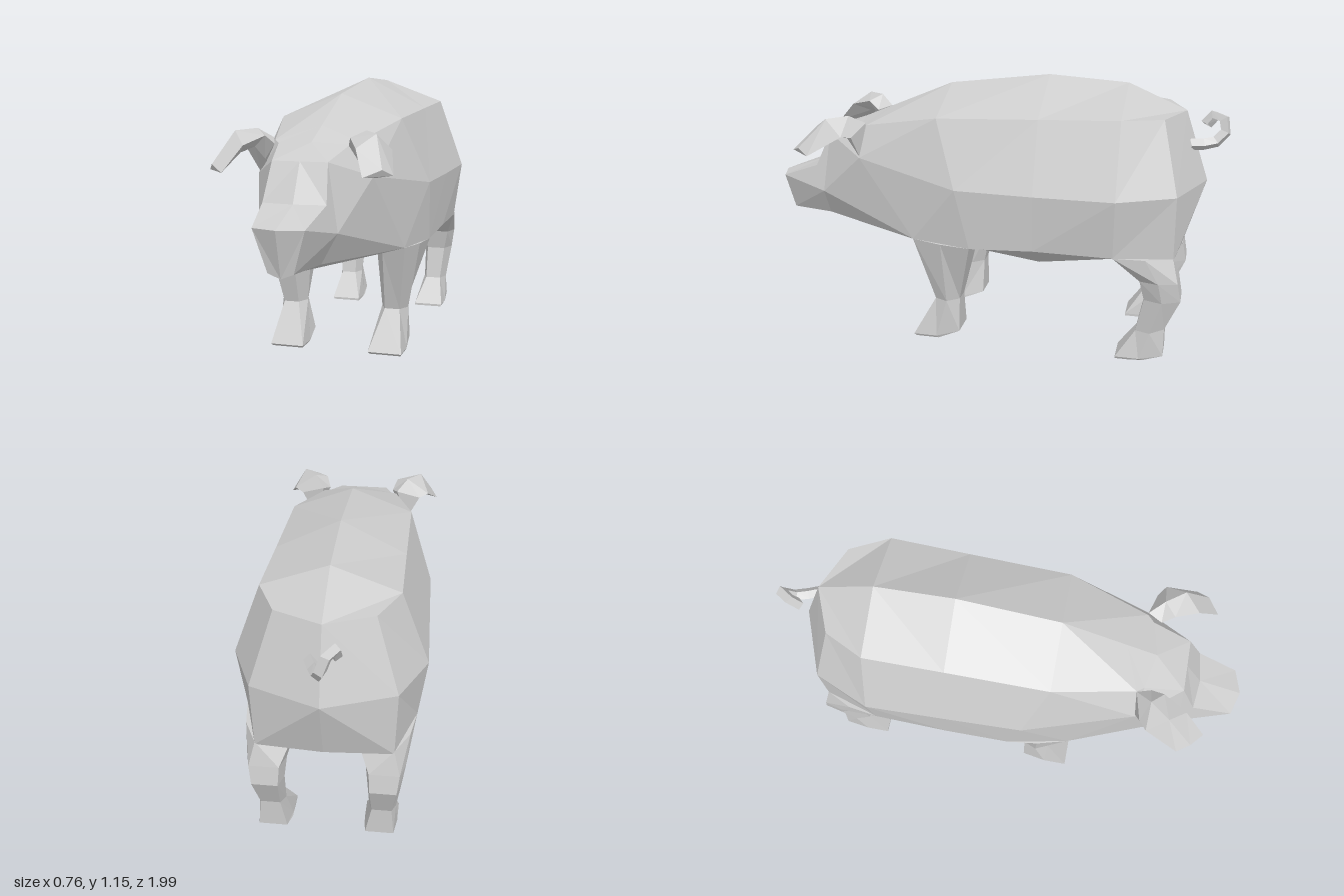
import * as THREE from 'three';

const skin = new THREE.MeshStandardMaterial({ color: 0xcccccc, flatShading: true, side: THREE.DoubleSide });
skin.name = 'grey skin';

// Skin a list of equal-length point loops; mirrored by flip = -1
function loft(name, rings, { closed = true, caps = true, flip = 1 } = {}) {
  const pos = [];
  const tri = (a, b, c) => {
    for (const p of flip > 0 ? [a, b, c] : [a, c, b]) pos.push(p[0] * flip, p[1], p[2]);
  };
  const n = rings[0].length;
  for (let i = 0; i < rings.length - 1; i++) {
    for (let k = 0; k < (closed ? n : n - 1); k++) {
      const a = rings[i][k], b = rings[i][(k + 1) % n];
      const d = rings[i + 1][k], c = rings[i + 1][(k + 1) % n];
      tri(a, b, d);
      tri(b, c, d);
    }
  }
  if (caps) {
    const first = rings[0], last = rings[rings.length - 1];
    for (let k = 1; k < n - 1; k++) {
      tri(first[0], first[k + 1], first[k]);
      tri(last[0], last[k], last[k + 1]);
    }
  }
  const geo = new THREE.BufferGeometry();
  geo.setAttribute('position', new THREE.Float32BufferAttribute(pos, 3));
  geo.computeVertexNormals();
  const mesh = new THREE.Mesh(geo, skin);
  mesh.name = name;
  return mesh;
}

// Six-sided leg section: inner/outer x, front/back z, front/back y, corner insets
function legRing(xi, xo, zf, zb, yf, yb, insetF, insetB) {
  const zm = (zf + zb) / 2, ym = yf;
  return [
    [xo - insetF, yf, zf], [xo, ym, zm], [xo - insetB, yb, zb],
    [xi + insetB, yb, zb], [xi, ym, zm], [xi + insetF, yf, zf],
  ];
}

export function createModel() {
  const model = new THREE.Group();
  model.name = 'pig';

  // Half sections of head and body: spine, shoulder, side, lower side, inner belly, belly line
  const noseTop = [0, 0.655, 1], noseLow = [0, 0.47, 0.95], noseSide = [0.1, 0.655, 0.97];
  const cheek = [0.155, 0.61, 0.76], jaw = [0.09, 0.49, 0.76], chin = [0, 0.455, 0.76];
  const earRoot = [0.235, 0.8, 0.555];
  const rump = [0, 1.03, -0.81], under = [0, 0.43, -0.74];
  const headSections = [
    [noseTop, noseTop, noseTop, noseTop, noseLow, noseLow],
    [noseTop, noseSide, noseSide, noseSide, [0.05, 0.49, 0.95], noseLow],
    [[0, 0.72, 0.815], [0.125, 0.72, 0.8], cheek, cheek, jaw, chin],
    [[0, 0.87, 0.735], [0.11, 0.87, 0.735], earRoot, cheek, jaw, chin],
    [[0, 0.93, 0.6], [0.145, 0.92, 0.57], earRoot, cheek, jaw, chin],
    [[0, 0.985, 0.47], [0.17, 0.93, 0.54], earRoot, [0.3, 0.475, 0.3], [0.18, 0.44, 0.3], [0, 0.405, 0.3]],
  ];
  const bodySections = [
    headSections[5],
    [[0, 1.1, 0.2], [0.26, 1, 0.2], [0.36, 0.725, 0.1], [0.35, 0.47, 0.04], [0.16, 0.4, 0.06], [0, 0.36, 0.05]],
    [[0, 1.155, -0.23], [0.265, 1.02, -0.23], [0.37, 0.725, -0.23], [0.355, 0.485, -0.23], [0.18, 0.37, -0.23], [0, 0.325, -0.23]],
    [[0, 1.135, -0.565], [0.27, 1.035, -0.565], [0.38, 0.73, -0.565], [0.345, 0.48, -0.56], [0.18, 0.42, -0.54], [0, 0.375, -0.53]],
    [rump, [0.19, 1.03, -0.73], [0.28, 0.735, -0.8], [0.27, 0.46, -0.8], [0.14, 0.44, -0.75], under],
    [rump, rump, [0, 0.735, -0.91], [0, 0.47, -0.83], under, under],
  ];

  // Legs, from sole to hip
  const frontLeg = [
    legRing(0.15, 0.285, 0.3, 0.2, 0.01, 0.01, 0, 0),
    legRing(0.145, 0.29, 0.31, 0.105, 0.02, 0.05, 0, 0.01),
    legRing(0.17, 0.285, 0.215, 0.105, 0.19, 0.2, 0.025, 0.02),
    [[0.3, 0.475, 0.3], [0.335, 0.472, 0.17], [0.35, 0.47, 0.04], [0.16, 0.4, 0.06], [0.15, 0.42, 0.17], [0.2, 0.445, 0.28]],
  ];
  const rearLeg = [
    legRing(0.15, 0.28, -0.58, -0.7, 0, 0.005, 0, 0),
    legRing(0.15, 0.285, -0.58, -0.78, 0.01, 0.03, 0, 0.01),
    legRing(0.17, 0.28, -0.66, -0.78, 0.13, 0.15, 0.02, 0.015),
    legRing(0.165, 0.3, -0.69, -0.84, 0.28, 0.29, 0.025, 0.015),
    legRing(0.155, 0.315, -0.67, -0.825, 0.37, 0.37, 0.02, 0.02),
    [[0.345, 0.48, -0.56], [0.325, 0.475, -0.69], [0.27, 0.47, -0.8], [0.14, 0.45, -0.78], [0.13, 0.44, -0.67], [0.18, 0.42, -0.55]],
  ];

  // Folded ears, root to tip: outer edge, ridge, inner edge, underside
  const ear = [
    [[0.225, 0.8, 0.555], [0.175, 0.94, 0.54], [0.15, 0.92, 0.6], [0.19, 0.86, 0.6]],
    [[0.28, 0.9, 0.57], [0.22, 0.98, 0.6], [0.17, 0.955, 0.65], [0.22, 0.91, 0.63]],
    [[0.32, 0.91, 0.6], [0.28, 0.975, 0.68], [0.22, 0.925, 0.75], [0.26, 0.89, 0.68]],
    [[0.36, 0.83, 0.74], [0.33, 0.855, 0.79], [0.27, 0.83, 0.84], [0.31, 0.825, 0.775]],
  ];

  for (const flip of [1, -1]) {
    const side = flip > 0 ? 'left' : 'right';
    model.add(
      loft(side + 'Head', headSections, { closed: false, caps: false, flip }),
      loft(side + 'Body', bodySections, { closed: false, caps: false, flip }),
      loft(side + 'FrontLeg', frontLeg, { flip }),
      loft(side + 'RearLeg', rearLeg, { flip }),
      loft(side + 'Ear', ear, { flip }),
    );
  }

  // Curled tail
  const tailPath = new THREE.CatmullRomCurve3([
    [0.04, 0.895, -0.83], [0, 0.9, -0.93], [-0.02, 0.955, -0.975],
    [-0.045, 1.01, -0.945], [-0.07, 0.985, -0.905], [-0.06, 0.96, -0.89],
  ].map(p => new THREE.Vector3(...p)));
  const tail = new THREE.Mesh(new THREE.TubeGeometry(tailPath, 6, 0.025, 4), skin);
  tail.name = 'tail';
  model.add(tail);

  return model;
}
